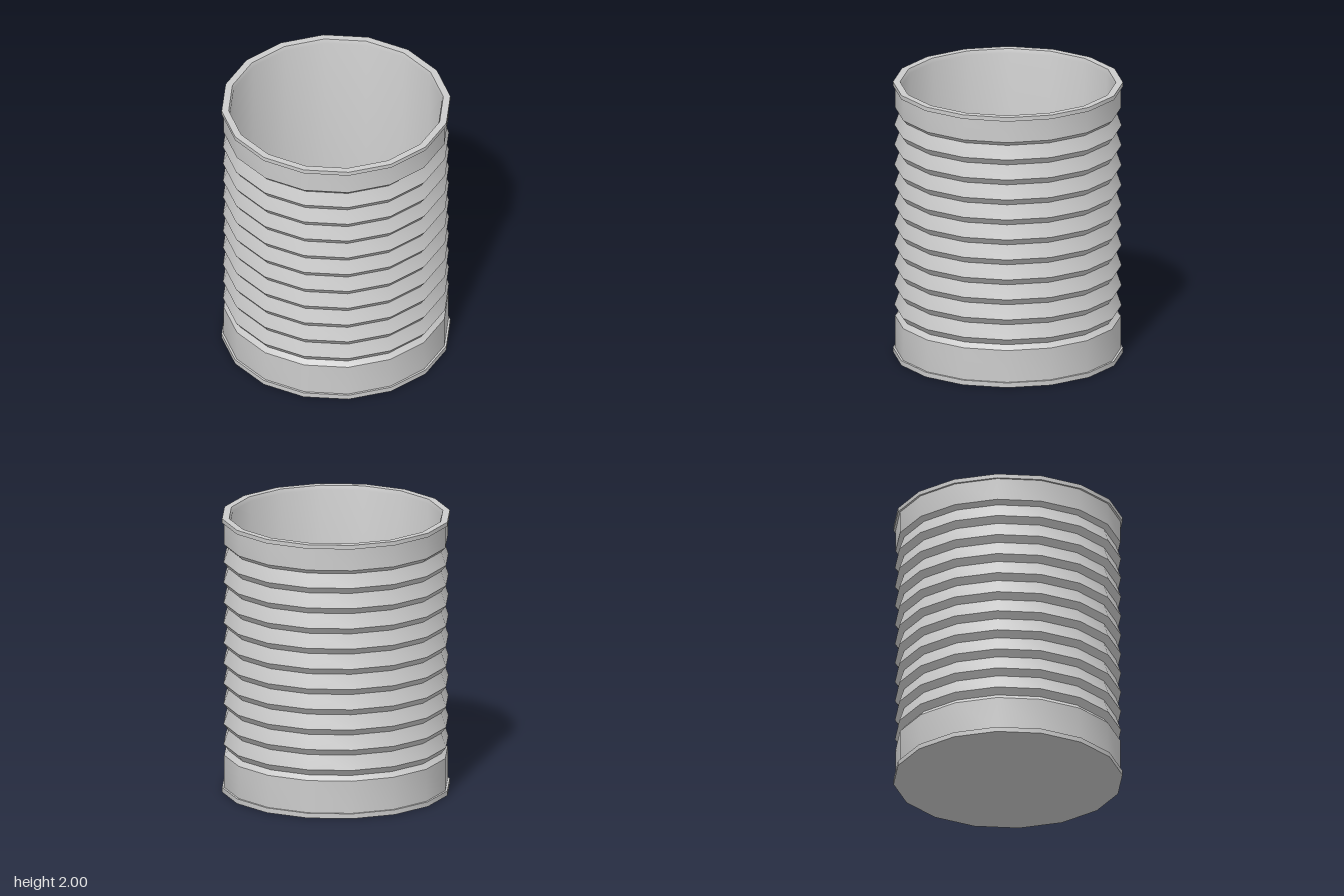
import * as THREE from 'three';
import { toCreasedNormals } from 'three/addons/utils/BufferGeometryUtils.js';

const SIDES = 16;
const material = new THREE.MeshStandardMaterial({ color: 0xcccccc });

// Revolves a profile of [radius, height] pairs, keeping sharp edges crisp
function turned(name, profile) {
  const points = profile.map(([r, y]) => new THREE.Vector2(r, y));
  const geometry = toCreasedNormals(new THREE.LatheGeometry(points, SIDES), 0.6);
  const mesh = new THREE.Mesh(geometry, material);
  mesh.name = name;
  return mesh;
}

export function createModel() {
  const can = new THREE.Group();
  can.name = 'openCan';

  // Outer wall: plain bands at both ends, ten saw-tooth ridges between
  const ridges = 10, pitch = 0.148, firstRidge = 0.35;
  const wall = [[0.795, 0.035], [0.795, 0.27]];
  for (let i = 0; i < ridges; i++) {
    const y = firstRidge + i * pitch;
    wall.push([0.765, y - 0.046], [0.8, y]);
  }
  wall.push([0.765, 1.78], [0.795, 1.81], [0.795, 1.97]);
  can.add(turned('corrugatedWall', wall));

  // Bottom seam with the closed underside
  can.add(turned('baseRim', [[0, 0], [0.81, 0], [0.81, 0.035], [0.795, 0.035]]));

  // Rolled lip around the open mouth
  can.add(turned('topRim', [[0.795, 1.97], [0.81, 1.97], [0.81, 2], [0.76, 2]]));

  // Smooth interior down to the floor
  can.add(turned('interior', [[0.76, 2], [0.75, 1.97], [0.75, 0.03], [0, 0.03]]));

  return can;
}
